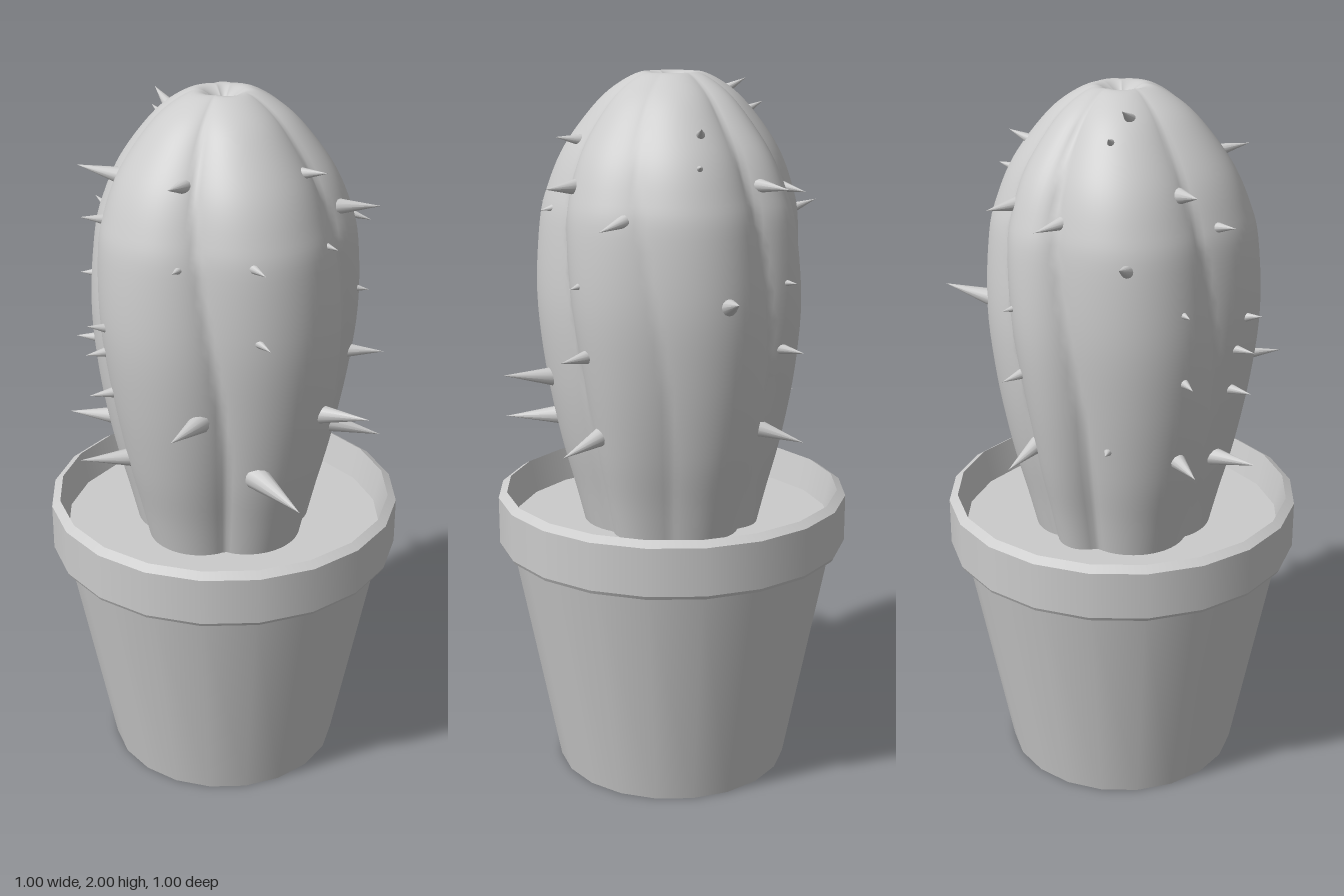
import * as THREE from 'three';
import { mergeGeometries, mergeVertices } from 'three/addons/utils/BufferGeometryUtils.js';

const DEG = Math.PI / 180;
const material = new THREE.MeshStandardMaterial({ color: 0xcccccc });

function addMesh(parent, geometry, name) {
  const mesh = new THREE.Mesh(geometry, material);
  mesh.name = name;
  parent.add(mesh);
  return mesh;
}

// Lathe that is smooth around the axis but keeps every profile corner sharp
function sharpLathe(profile, sides) {
  const bands = [];
  for (let i = 0; i < profile.length - 1; i++) {
    const pair = [profile[i], profile[i + 1]].map(([r, y]) => new THREE.Vector2(r, y));
    bands.push(new THREE.LatheGeometry(pair, sides));
  }
  return mergeGeometries(bands);
}

// Cactus outline, bottom to top, ending in the small dimple
const outline = new THREE.SplineCurve([
  [0.25, 0.72], [0.28, 0.84], [0.322, 1.0], [0.36, 1.2], [0.38, 1.4], [0.37, 1.6], [0.345, 1.7],
  [0.3, 1.8], [0.225, 1.9], [0.16, 1.96], [0.085, 1.998], [0.04, 1.985], [0, 1.95],
].map(([r, y]) => new THREE.Vector2(r, y))).getPoints(60);

// Grooves between the uneven ribs: angle in degrees from +x towards +z, relative depth
const grooves = [[-78, 0.13], [-42, 0.11], [15, 0.06], [62, 0.12], [140, 0.16], [212, 0.12], [282, 0.13]];

// Rib factor of the radius, with a slight twist towards the top
function ribFactor(angle, y) {
  const twist = -4 + 20 * THREE.MathUtils.smoothstep(y, 1.0, 2.05);
  const a = THREE.MathUtils.euclideanModulo(angle / DEG - twist + 78, 360) - 78;
  let i = 0;
  while (i < grooves.length - 2 && a >= grooves[i + 1][0]) i++;
  const [a0, d0] = grooves[i], [a1, d1] = grooves[i + 1];
  const s = (a - a0) / (a1 - a0);
  const depth = THREE.MathUtils.lerp(d0, d1, s);
  const bulge = Math.pow(Math.max(0, Math.sin(Math.PI * s)), 0.8);
  return (1 - depth * (1 - bulge)) * (1 - 0.013 * (1 + Math.cos(angle)));
}

function surfaceRadius(angle, y) {
  let i = 0;
  while (i < outline.length - 2 && outline[i + 1].y < y) i++;
  const p = outline[i], q = outline[i + 1];
  return THREE.MathUtils.lerp(p.x, q.x, (y - p.y) / (q.y - p.y)) * ribFactor(angle, y);
}

function cactusGeometry() {
  let geometry = new THREE.LatheGeometry(outline, 120);
  const pos = geometry.attributes.position;
  for (let i = 0; i < pos.count; i++) {
    const x = pos.getX(i), y = pos.getY(i), z = pos.getZ(i);
    const f = ribFactor(Math.atan2(z, x), y);
    pos.setXYZ(i, x * f, y, z * f);
  }
  geometry.deleteAttribute('uv');
  geometry.deleteAttribute('normal');
  geometry = mergeVertices(geometry, 1e-5);
  geometry.computeVertexNormals();
  return geometry;
}

// Spines: base x, y, z and tip x, y, z, grouped by the rib they grow on
const spines = {
  front: [
    [0.02, 1.825, 0.22, 0.045, 1.84, 0.32],
    [0.03, 1.645, 0.31, 0.036, 1.64, 0.345],
    [0.02, 1.175, 0.35, 0.05, 1.19, 0.48],
    [-0.19, 1.635, 0.28, -0.205, 1.63, 0.34],
    [-0.2, 1.435, 0.32, -0.205, 1.43, 0.35],
    [-0.16, 1.015, 0.29, -0.205, 1.005, 0.455],
  ],
  frontLeft: [
    [0.13, 1.715, 0.26, 0.21, 1.72, 0.365],
    [0.28, 1.64, 0.18, 0.32, 1.62, 0.25],
    [0.215, 1.465, 0.28, 0.24, 1.46, 0.315],
    [0.23, 1.275, 0.28, 0.28, 1.275, 0.345],
    [0.215, 1.045, 0.25, 0.285, 1.02, 0.345],
  ],
  left: [
    [0.22, 1.855, -0.025, 0.295, 1.885, -0.015],
    [0.27, 1.775, -0.015, 0.33, 1.79, -0.007],
    [0.355, 1.425, -0.085, 0.475, 1.455, -0.085],
  ],
  backLeft: [
    [0.23, 1.72, -0.18, 0.308, 1.715, -0.255],
    [0.235, 1.46, -0.26, 0.26, 1.46, -0.288],
    [0.23, 1.275, -0.27, 0.265, 1.27, -0.315],
    [0.215, 1.045, -0.23, 0.26, 1.02, -0.32],
    [0.11, 1.7, -0.28, 0.165, 1.69, -0.335],
  ],
  back: [
    [-0.035, 1.95, -0.12, -0.02, 1.995, -0.2],
    [-0.01, 1.9, -0.2, -0.01, 1.925, -0.25],
    [-0.07, 1.61, -0.33, -0.062, 1.645, -0.425],
    [-0.02, 1.09, -0.325, -0.02, 1.095, -0.36],
    [-0.19, 1.77, -0.22, -0.245, 1.79, -0.305],
    [-0.21, 1.48, -0.29, -0.23, 1.48, -0.315],
    [-0.21, 1.29, -0.28, -0.245, 1.29, -0.335],
    [-0.2, 1.05, -0.26, -0.26, 1.05, -0.36],
  ],
  right: [
    [-0.225, 1.815, 0.08, -0.325, 1.835, 0.115],
    [-0.3, 1.62, 0.125, -0.34, 1.625, 0.14],
    [-0.3, 1.195, 0.18, -0.425, 1.205, 0.215],
    [-0.28, 1.68, -0.17, -0.33, 1.69, -0.205],
    [-0.36, 1.415, -0.1, -0.4, 1.425, -0.12],
    [-0.35, 1.33, -0.13, -0.385, 1.33, -0.145],
    [-0.34, 1.21, -0.12, -0.38, 1.21, -0.14],
    [-0.3, 1.0, -0.11, -0.4, 1.01, -0.165],
  ],
};

// One cone, rooted slightly below the cactus skin
function addSpine(parent, [bx, by, bz, tx, ty, tz]) {
  const angle = Math.atan2(bz, bx);
  const r = surfaceRadius(angle, by);
  const tip = new THREE.Vector3(tx, ty, tz);
  const base = new THREE.Vector3(r * Math.cos(angle), by, r * Math.sin(angle));
  const dir = tip.clone().sub(new THREE.Vector3(bx, by, bz)).normalize();
  const length = Math.max(0.03, tip.clone().sub(base).dot(dir)) + 0.015;
  const geometry = new THREE.ConeGeometry(0.006 + length * 0.14, length, 12);
  geometry.translate(0, length / 2 - 0.015, 0);
  const spine = addMesh(parent, geometry, 'spine');
  spine.position.copy(base);
  spine.quaternion.setFromUnitVectors(new THREE.Vector3(0, 1, 0), dir);
}

export function createModel() {
  const model = new THREE.Group();
  model.name = 'pottedCactus';

  // Tapered pot, overhanging rim and soil, all twenty-sided
  const pot = new THREE.Group();
  pot.name = 'pot';
  model.add(pot);
  addMesh(pot, sharpLathe([[0, 0], [0.335, 0], [0.465, 0.68]], 20), 'potBody');
  addMesh(pot, sharpLathe([
    [0.46, 0.675], [0.495, 0.675], [0.5, 0.685], [0.5, 0.82], [0.476, 0.835], [0.455, 0.74],
  ], 20), 'potRim');
  addMesh(pot, sharpLathe([[0.455, 0.74], [0, 0.74]], 20), 'soil');

  // Ribbed cactus with its spines
  const cactus = new THREE.Group();
  cactus.name = 'cactus';
  model.add(cactus);
  addMesh(cactus, cactusGeometry(), 'cactusBody');
  for (const [side, list] of Object.entries(spines)) {
    const group = new THREE.Group();
    group.name = side + 'Spines';
    cactus.add(group);
    list.forEach((spine) => addSpine(group, spine));
  }
  return model;
}
